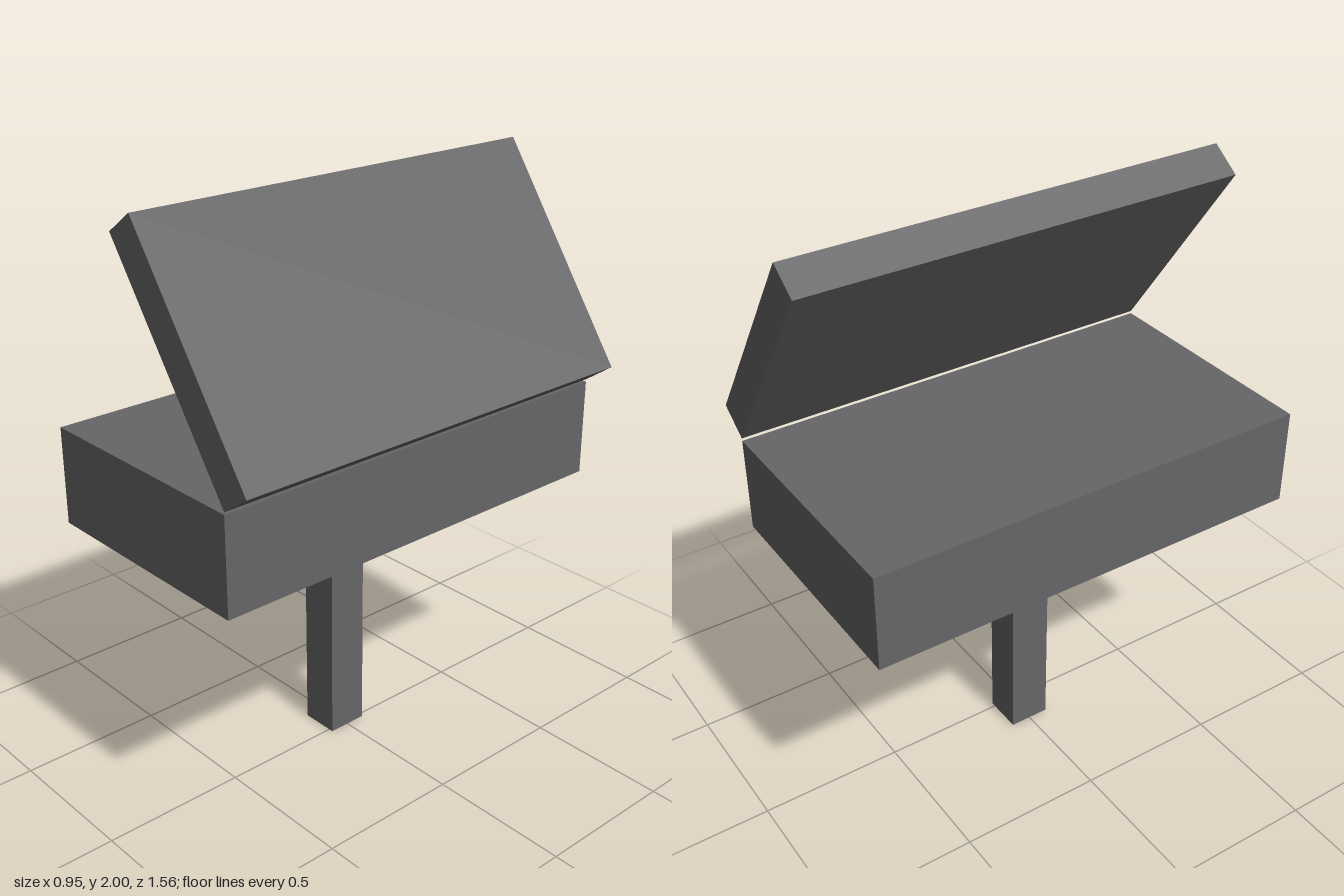
import * as THREE from 'three';

const DEPTH = 1.56;

export function createModel() {
  const model = new THREE.Group();
  model.name = 'postBox';

  const darkGrey = new THREE.MeshStandardMaterial({ color: 0x666668, side: THREE.DoubleSide });
  darkGrey.name = 'dark grey';

  const add = (name, geometry, x, y) => {
    const mesh = new THREE.Mesh(geometry, darkGrey);
    mesh.name = name;
    mesh.position.set(x, y, 0);
    model.add(mesh);
    return mesh;
  };

  // Hollow square post, open at both ends: a four-sided tube turned square to the axes
  const postHeight = 0.887;
  const post = new THREE.CylinderGeometry(Math.SQRT1_2, Math.SQRT1_2, postHeight, 4, 1, true)
    .rotateY(Math.PI / 4)
    .scale(0.137, 1, 0.144)
    .toNonIndexed();
  post.computeVertexNormals();
  add('post', post, -0.052, postHeight / 2);

  // Box resting on the post
  add('box', new THREE.BoxGeometry(0.85, 0.337, DEPTH), -0.053, 1.0555);

  // Lid propped open, hinged along the box's left edge
  const lid = add('lid', new THREE.BoxGeometry(0.85, 0.125, DEPTH), 0.18, 1.617);
  lid.rotation.z = THREE.MathUtils.degToRad(-55);

  return model;
}
